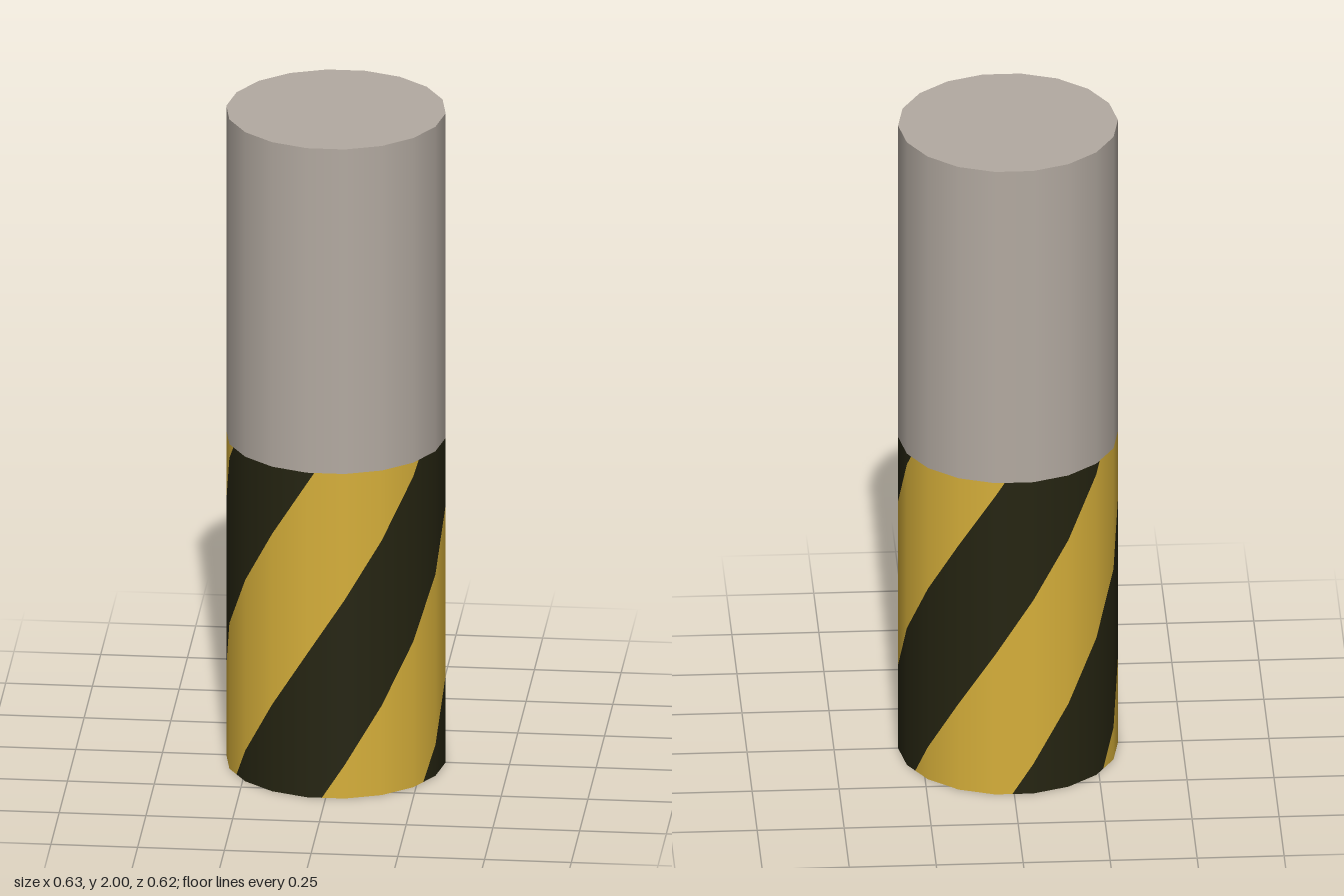
import * as THREE from 'three';

const R = 0.316, SIDES = 18, STEP = 360 / SIDES;
const TWIST = 116;        // degrees a stripe turns over the lower half
const BLACK_START = -61;  // angle of the first black stripe at the foot
const BLACK_WIDTH = 59, PERIOD = 120;

// Slanted stripes laid exactly on the flat sides, with smooth normals
function stripeGeometry(start, width) {
  const pos = [], nor = [];
  const rad = THREE.MathUtils.degToRad;
  for (let f = 0; f < SIDES; f++) {
    const a0 = f * STEP - STEP / 2, a1 = a0 + STEP;
    const vertex = (a, y) => {
      const t = (a - a0) / STEP;
      const mix = (fn) => fn(rad(a0)) * (1 - t) + fn(rad(a1)) * t;
      const x = mix(Math.sin), z = mix(Math.cos), l = Math.hypot(x, z);
      pos.push(x * R, y, z * R);
      nor.push(x / l, 0, z / l);
    };
    for (let k = -2; k < 5; k++) {
      const lo = start + k * PERIOD, hi = lo + width;
      // Heights where the stripe edges cross the corners of this side
      const ys = [0, 1];
      for (const a of [a0, a1]) for (const e of [lo, hi]) ys.push((a - e) / TWIST);
      const rows = ys.filter((y) => y >= 0 && y <= 1).sort((p, q) => p - q);
      const span = (y) => [Math.max(a0, lo + TWIST * y), Math.min(a1, hi + TWIST * y)];
      for (let i = 0; i + 1 < rows.length; i++) {
        const [y0, y1] = [rows[i], rows[i + 1]];
        if (y1 - y0 < 1e-6) continue;
        const mid = span((y0 + y1) / 2);
        if (mid[1] - mid[0] < 1e-6) continue;
        const [l0, h0] = span(y0), [l1, h1] = span(y1);
        vertex(l0, y0); vertex(h0, y0); vertex(h1, y1);
        vertex(l0, y0); vertex(h1, y1); vertex(l1, y1);
      }
    }
  }
  const g = new THREE.BufferGeometry();
  g.setAttribute('position', new THREE.Float32BufferAttribute(pos, 3));
  g.setAttribute('normal', new THREE.Float32BufferAttribute(nor, 3));
  return g;
}

// Swirl patch on the underside: inner outline, then the rim between two angles
function swirlGeometry(inner, rimFrom, rimTo) {
  const s = Math.SQRT1_2 * R;
  const pts = inner.map(([u, v]) => new THREE.Vector2((v - u) * s, (-u - v) * s));
  for (let i = 0; i <= 8; i++) {
    const a = THREE.MathUtils.degToRad(rimFrom + (rimTo - rimFrom) * i / 8);
    pts.push(new THREE.Vector2(Math.sin(a), Math.cos(a)).multiplyScalar(R * 0.986));
  }
  return new THREE.ShapeGeometry(new THREE.Shape(pts)).rotateX(Math.PI / 2);
}

export function createModel() {
  const material = (name, color) => {
    const m = new THREE.MeshStandardMaterial({ color });
    m.name = name;
    return m;
  };
  const grey = material('warm grey', 0xb3aaa1);
  const yellow = material('warning yellow', 0xd6af3a);
  const black = material('stripe black', 0x252411);

  const group = new THREE.Group();
  group.name = 'stripedPost';
  const add = (name, geometry, mat, y = 0) => {
    const mesh = new THREE.Mesh(geometry, mat);
    mesh.name = name;
    mesh.position.y = y;
    group.add(mesh);
  };

  // Plain upper half
  add('upperPost', new THREE.CylinderGeometry(R, R, 1, SIDES, 1, true, Math.PI / SIDES), grey, 1.5);
  add('topCap', new THREE.CircleGeometry(R, SIDES).rotateX(-Math.PI / 2), grey, 2);

  // Striped lower half
  add('blackStripes', stripeGeometry(BLACK_START, BLACK_WIDTH), black);
  add('yellowStripes', stripeGeometry(BLACK_START + BLACK_WIDTH, PERIOD - BLACK_WIDTH), yellow);

  // Underside with curling stripes
  add('bottomCap', new THREE.CircleGeometry(R, SIDES).rotateX(Math.PI / 2), yellow, 0.002);
  const swirls = [
    [[[0.16, 0.25], [0.3, 0.2], [0.46, 0.05], [0.53, -0.28], [0.46, -0.65]], -61, -2],
    [[[-0.33, 0.46], [-0.03, 0.42], [0.16, 0.25], [0.37, 0.6], [0.1, 0.7], [-0.15, 0.77]], 118, 59],
    [[[0.73, 0.52], [0.37, 0.56]], 179, 238],
  ];
  for (const [inner, from, to] of swirls) {
    // Keep the outline running in one direction round the patch
    const flip = from < 0;
    add('bottomSwirl', swirlGeometry(inner, flip ? to : from, flip ? from : to), black);
  }
  return group;
}
